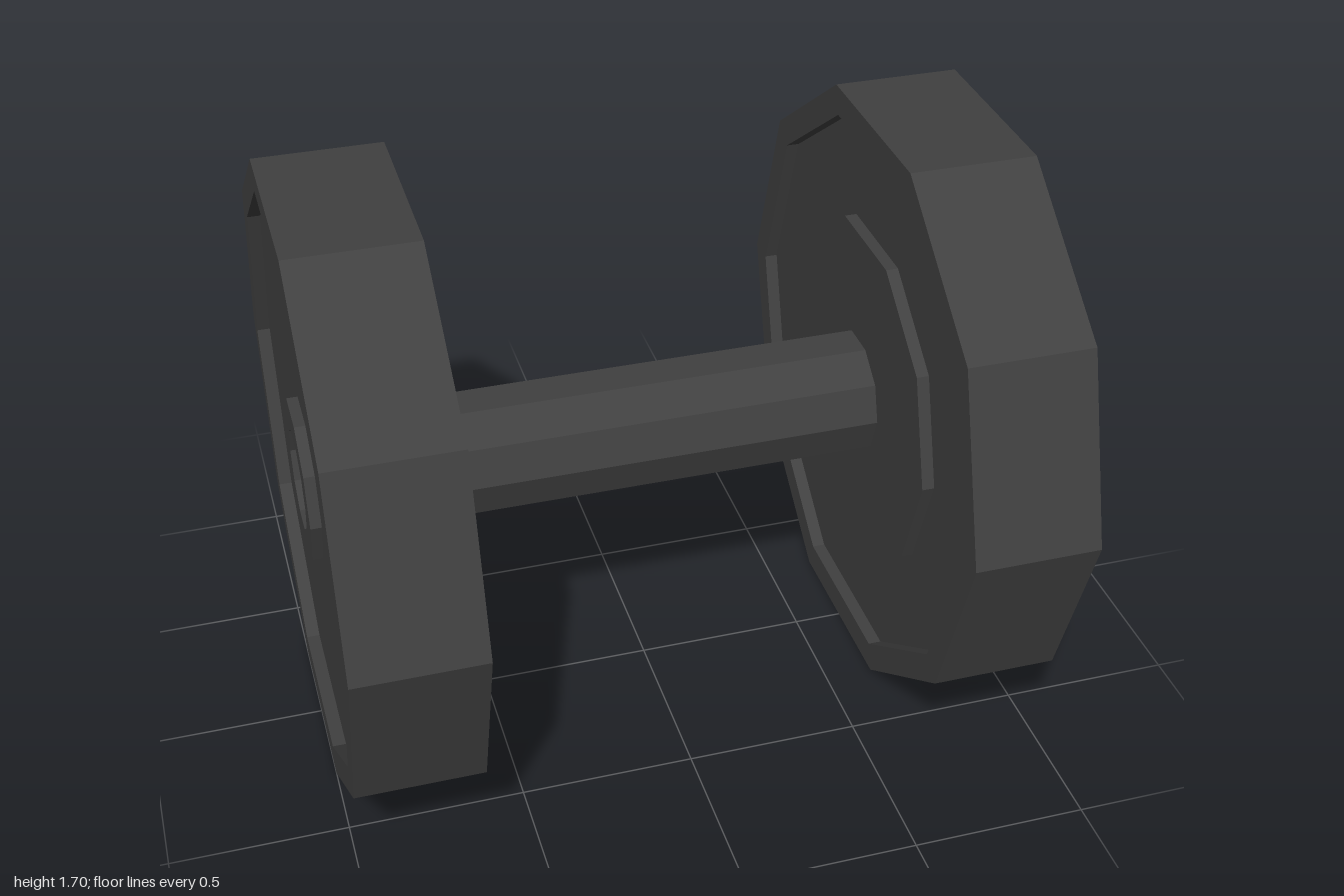
import * as THREE from 'three';

const SIDES = 10;
const RADIUS = 0.896;
const CENTER_Y = RADIUS * Math.cos(Math.PI / SIDES);

// Faceted solid of revolution around y; profile runs from bottom to top as [radius, height]
function facetedLathe(profile) {
  const points = profile.map(([r, h]) => new THREE.Vector2(r, h));
  const geometry = new THREE.LatheGeometry(points, SIDES).toNonIndexed();
  geometry.computeVertexNormals();
  return geometry;
}

export function createModel() {
  const model = new THREE.Group();
  model.name = 'dumbbell';
  const material = new THREE.MeshStandardMaterial({ color: 0x404040, flatShading: true });

  // Weight: inner collar, recessed faces inside a rim, outer hub with a shallow socket
  const weightGeometry = facetedLathe([
    [0, 0.645], [0.52, 0.645],
    [0.52, 0.68], [0.81, 0.68],
    [0.81, 0.642], [RADIUS, 0.642],
    [RADIUS, 1], [0.81, 1],
    [0.81, 0.962], [0.235, 0.962],
    [0.235, 0.993], [0.145, 0.993],
    [0.145, 0.962], [0, 0.962],
  ]);
  for (const side of [1, -1]) {
    const weight = new THREE.Mesh(weightGeometry, material);
    weight.name = side > 0 ? 'leftWeight' : 'rightWeight';
    weight.rotation.z = -side * Math.PI / 2;
    weight.position.y = CENTER_Y;
    model.add(weight);
  }

  // Handle bar between the weights
  const handle = new THREE.Mesh(facetedLathe([[0.18, -0.65], [0.18, 0.65]]), material);
  handle.name = 'handle';
  handle.rotation.z = -Math.PI / 2;
  handle.position.y = CENTER_Y;
  model.add(handle);

  return model;
}
